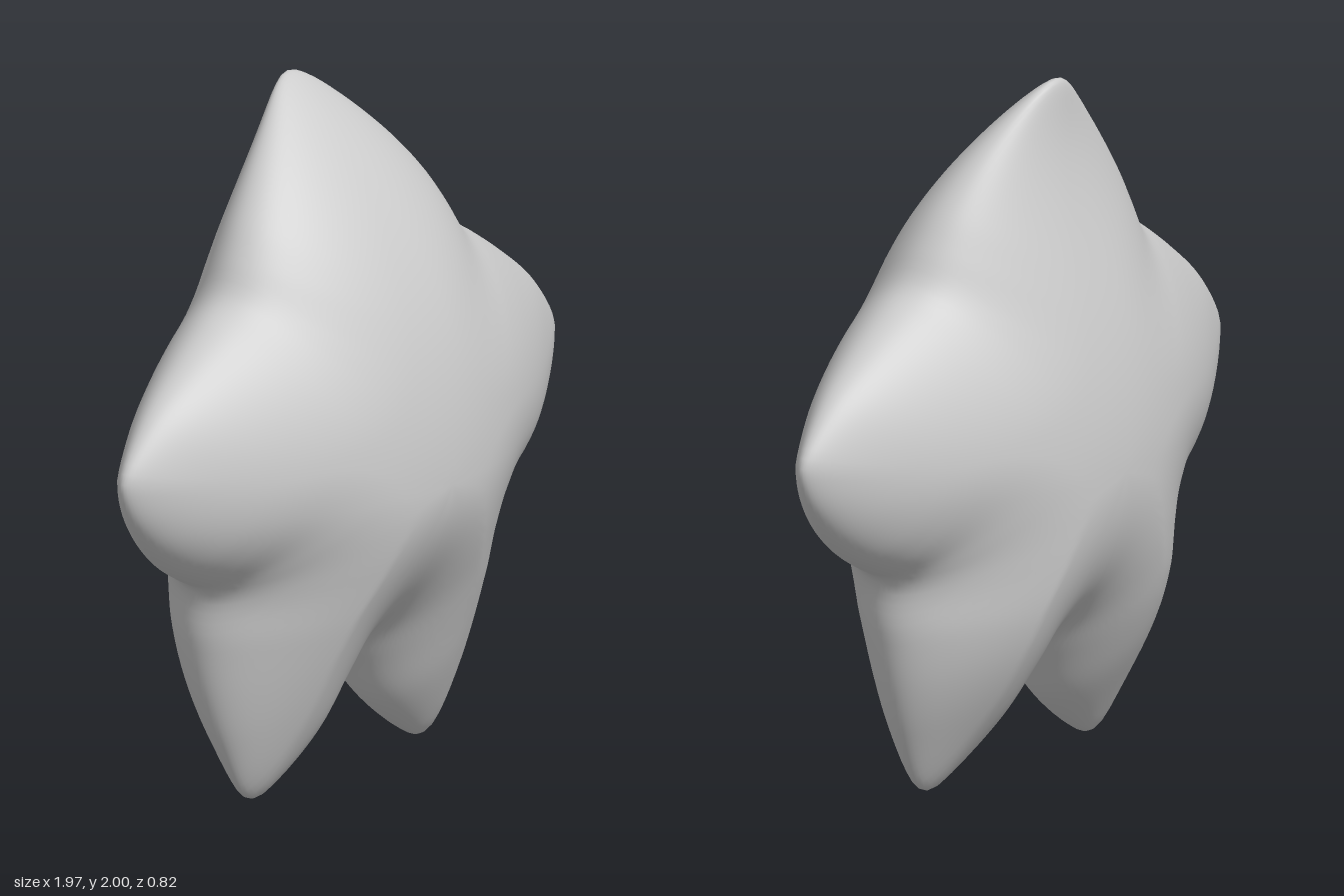
import * as THREE from 'three';

const CENTRE_Y = 0.9;   // height of the star's middle
const HALF_DEPTH = 0.41;
const SEGMENTS = 220;
const RINGS = 60;       // front centre -> rim -> back centre

// Right half of the outline, from the head tip down to the crotch
const HALF = [
  [0, 2], [0.06, 1.98], [0.24, 1.83], [0.375, 1.68], [0.44, 1.58], [0.495, 1.488],
  [0.59, 1.425], [0.7, 1.352], [0.86, 1.23], [0.97, 1.1], [0.985, 1.06], [0.96, 0.97],
  [0.88, 0.855], [0.77, 0.755], [0.68, 0.7], [0.607, 0.655], [0.597, 0.5], [0.57, 0.33],
  [0.52, 0.18], [0.43, 0.02], [0.375, 0], [0.29, 0.04], [0.16, 0.15], [0.06, 0.3], [0, 0.375],
];

function outline() {
  const mirrored = HALF.slice(1, -1).reverse().map(([x, y]) => [-x, y]);
  const pts = [...HALF, ...mirrored].map(([x, y]) => new THREE.Vector3(x, y, 0));
  const curve = new THREE.CatmullRomCurve3(pts, true, 'centripetal');
  curve.arcLengthDivisions = 1500;
  return curve.getSpacedPoints(SEGMENTS).slice(0, SEGMENTS);
}

// Head leans backwards towards its tip, legs sit very slightly back
function lean(y) {
  const h = y - CENTRE_Y;
  return h > 0 ? -0.165 * (h / 1.1) ** 4 : -0.025 * Math.sin((Math.PI * -h) / CENTRE_Y) ** 2;
}

// Smooth cushion shape that thins towards the five tips
function dome(x, y) {
  const h = y - CENTRE_Y;
  const s = (x / 1.08) ** 2 + (h / (h > 0 ? 1.18 : 1.05)) ** 2;
  return HALF_DEPTH * Math.max(0, 1 - s) ** 1.3;
}

function starGeometry() {
  const rim = outline();
  const edges = rim.map((q, i) => new THREE.Line3(q, rim[(i + 1) % SEGMENTS]));
  const nearest = new THREE.Vector3();
  const rimDistance = (v) =>
    Math.min(...edges.map((e) => e.closestPointToPoint(v, true, nearest).distanceTo(v)));

  // Cushion depth, rounded off like a quarter circle near the rim
  const depthAt = (v) => {
    const full = dome(v.x, v.y);
    const inset = Math.min(1, rimDistance(v) / (1.2 * full + 0.02));
    return full * Math.sqrt(1 - (1 - inset) ** 2);
  };

  const pos = [0, CENTRE_Y, HALF_DEPTH];
  const centre = new THREE.Vector3(0, CENTRE_Y, 0);
  const v = new THREE.Vector3();
  for (let j = 1; j < RINGS; j++) {
    const angle = (j / RINGS) * Math.PI;
    const side = j * 2 === RINGS ? 0 : Math.sign(Math.cos(angle));
    for (const q of rim) {
      v.lerpVectors(centre, q, Math.sin(angle));
      pos.push(v.x, v.y, side * depthAt(v) + lean(v.y));
    }
  }
  pos.push(0, CENTRE_Y, -HALF_DEPTH);

  const index = [];
  const at = (j, i) => 1 + (j - 1) * SEGMENTS + (i % SEGMENTS);
  const last = pos.length / 3 - 1;
  for (let i = 0; i < SEGMENTS; i++) {
    index.push(0, at(1, i + 1), at(1, i));
    for (let j = 1; j < RINGS - 1; j++) {
      index.push(at(j, i), at(j, i + 1), at(j + 1, i));
      index.push(at(j, i + 1), at(j + 1, i + 1), at(j + 1, i));
    }
    index.push(last, at(RINGS - 1, i), at(RINGS - 1, i + 1));
  }

  const geometry = new THREE.BufferGeometry();
  geometry.setAttribute('position', new THREE.Float32BufferAttribute(pos, 3));
  geometry.setIndex(index);
  geometry.computeVertexNormals();
  return geometry;
}

export function createModel() {
  const group = new THREE.Group();
  group.name = 'puffyStar';
  const body = new THREE.Mesh(starGeometry(), new THREE.MeshStandardMaterial({ color: 0xcccccc }));
  body.name = 'starBody';
  group.add(body);
  return group;
}
